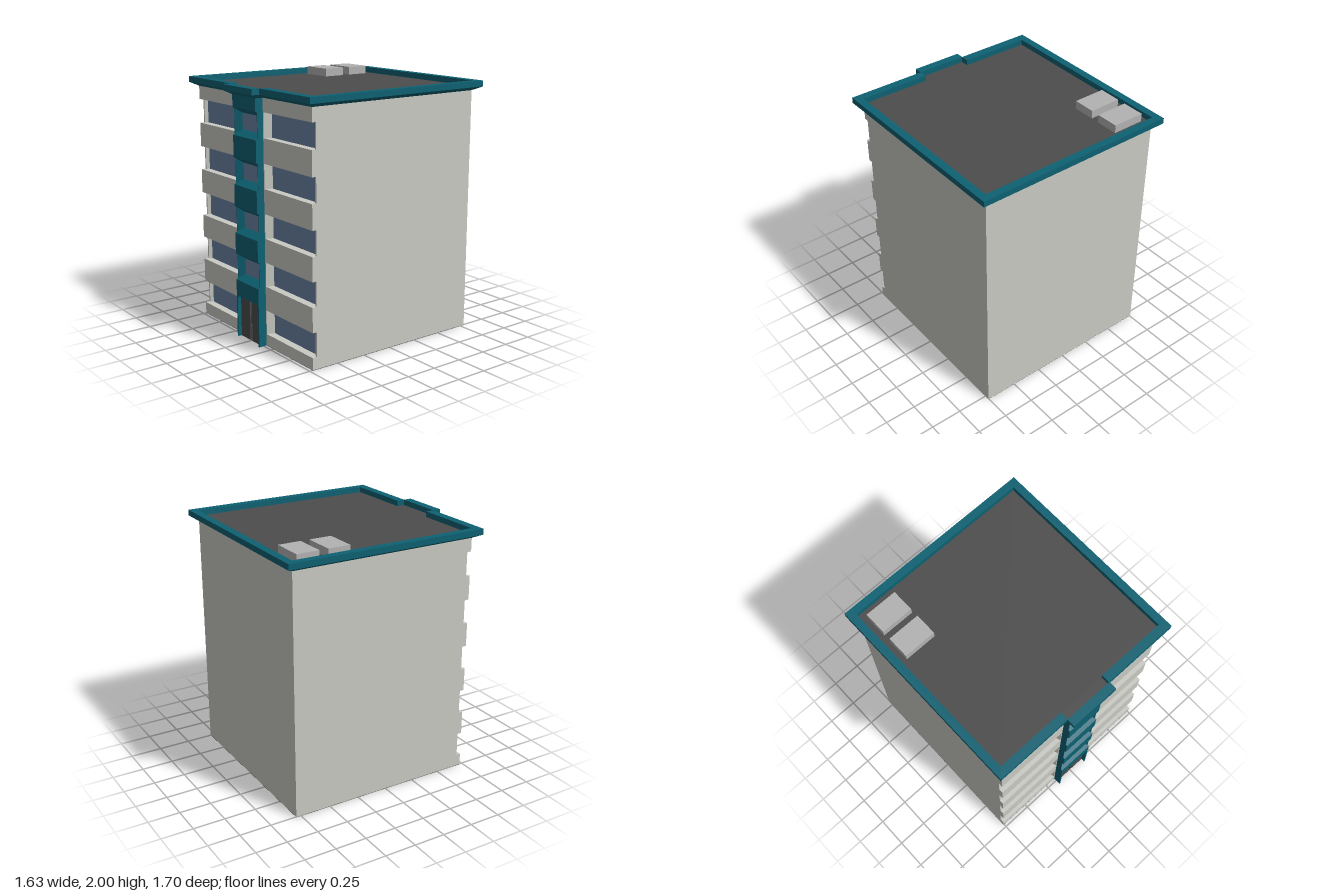
import * as THREE from 'three';

const mat = (color, extra = {}) => {
  const m = new THREE.MeshStandardMaterial({ ...extra });
  m.color.set(color);
  return m;
};

export function createModel() {
  const root = new THREE.Group();
  root.name = 'apartmentBlock';
  const wall = mat(0xc9cac3), teal = mat(0x0d6172), glass = mat(0x6b84a4);
  const dark = mat(0x4d4d4d), darker = mat(0x333333), unit = mat(0xb2b2b2);

  const add = (name, geo, material, parent = root) => {
    const mesh = new THREE.Mesh(geo, material);
    mesh.name = name;
    parent.add(mesh);
    return mesh;
  };
  // Box given by its extents on each axis
  const box = (name, [x0, x1], [y0, y1], [z0, z1], material, parent) =>
    add(name, new THREE.BoxGeometry(x1 - x0, y1 - y0, z1 - z0), material, parent)
      .position.set((x0 + x1) / 2, (y0 + y1) / 2, (z0 + z1) / 2);
  const shape = pts => new THREE.Shape(pts.map(p => new THREE.Vector2(...p)));
  const extrude = (s, depth) =>
    new THREE.ExtrudeGeometry(s, { depth, bevelEnabled: false, curveSegments: 5 });
  // Flat-shaded skin between successive closed loops of [x, y, z] points
  const loft = loops => {
    const pos = [];
    for (let i = 0; i + 1 < loops.length; i++) {
      const lo = loops[i], hi = loops[i + 1], n = lo.length;
      for (let j = 0; j < n; j++) {
        const k = (j + 1) % n;
        pos.push(...lo[j], ...lo[k], ...hi[k], ...lo[j], ...hi[k], ...hi[j]);
      }
    }
    const g = new THREE.BufferGeometry();
    g.setAttribute('position', new THREE.Float32BufferAttribute(pos, 3));
    g.computeVertexNormals();
    return g;
  };

  const W = 0.755, BACK = -0.79, FRONT = 0.725, GLASS = 0.663, T = 0.155;
  const floors = [[0.095, 0.285], [0.475, 0.665], [0.85, 1.04], [1.23, 1.42], [1.61, 1.8]];

  // Main block and its dark underside
  box('mainBlock', [-W, W], [0.002, 1.93], [BACK, GLASS], wall);
  box('baseSlab', [-W, W], [0, 0.002], [BACK, FRONT], dark);

  // Wall bands between the window rows
  const bands = [0.002, ...floors.flat(), 1.92];
  for (let i = 0; i < bands.length; i += 2)
    box('wallBand', [-W, W], [bands[i], bands[i + 1]], [GLASS, FRONT], wall);

  // Recessed window strips with splayed piers at both ends
  floors.forEach(([y0, y1]) => {
    const row = new THREE.Group();
    row.name = 'windowRow';
    root.add(row);
    box('pierCore', [-T, T], [y0, y1], [GLASS, FRONT], wall, row);
    for (const s of [1, -1]) {
      const pane = [0.18 * s, 0.73 * s].sort((a, b) => a - b);
      box('windowStrip', pane, [y0, y1], [GLASS - 0.01, GLASS + 0.001], glass, row);
      const piers = [
        [[T, GLASS], [0.182, GLASS], [0.162, FRONT], [T, FRONT]],
        [[0.73, GLASS], [W, GLASS], [W, 0.69], [0.742, 0.69]],
      ];
      for (const p of piers) {
        const g = extrude(shape(p.map(([x, z]) => [x * s, -z])), y1 - y0);
        g.rotateX(-Math.PI / 2);
        g.translate(0, y0, 0);
        add('pier', g, wall, row);
      }
    }
  });

  // Central tower
  const tower = new THREE.Group();
  tower.name = 'entranceTower';
  root.add(tower);
  const rect = (hx, y0, y1, z) => [[-hx, y0, z], [hx, y0, z], [hx, y1, z], [-hx, y1, z]];
  const panel = (y0, y1, chamferLow, chamferHigh) => {
    const c = 0.01;
    const pts = [[FRONT, y0]];
    if (chamferLow) pts.push([0.775, y0], [0.79, y0 + c]);
    else pts.push([0.79, y0]);
    if (chamferHigh) pts.push([0.79, y1 - c], [0.775, y1]);
    else pts.push([0.79, y1]);
    pts.push([FRONT, y1]);
    const g = extrude(shape(pts), 2 * T);
    g.rotateY(-Math.PI / 2); // profile z axis to model z
    g.translate(T, 0, 0);
    add('towerPanel', g, teal, tower);
  };
  panel(0.36, floors[1][0], false, true);
  for (let i = 1; i < 5; i++) {
    const [y0, y1] = floors[i];
    panel(y1, i < 4 ? floors[i + 1][0] : 1.92, true, i < 4);
    add('windowSurround', loft([rect(0.15, y0, y1, 0.775),
      rect(0.115, y0 + 0.03, y1 - 0.034, 0.727)]), teal, tower);
    box('towerWindow', [-0.118, 0.118], [y0 + 0.028, y1 - 0.03], [0.72, 0.7275], glass, tower);
    for (const s of [1, -1])
      box('towerFin', [s * 0.1525 - 0.0025, s * 0.1525 + 0.0025], [y0, y1], [FRONT, 0.775], teal, tower);
  }

  // Doorway with rounded upper corners
  const D = 0.142, H = 0.335, r = 0.018;
  const portal = shape([[-T, 0], [-D, 0], [-D, H - r]]);
  portal.quadraticCurveTo(-D, H, -D + r, H);
  portal.lineTo(D - r, H);
  portal.quadraticCurveTo(D, H, D, H - r);
  [[D, 0], [T, 0], [T, 0.36], [-T, 0.36]].forEach(p => portal.lineTo(...p));
  add('doorSurround', extrude(portal, 0.065), teal, tower).position.z = FRONT;
  box('doorLeaf', [-D, -0.015], [0, H], [FRONT, 0.76], dark, tower);
  box('doorLeaf', [0.012, D], [0, H], [FRONT, 0.76], dark, tower);
  box('doorGap', [-0.015, 0.012], [0, H], [FRONT, 0.752], darker, tower);
  box('doorStile', [-0.003, 0.001], [0, H], [0.752, 0.758], dark, tower);

  // Cornice ring, stepping out around the tower
  const outline = (hx, zb, zf, bx, zt) => [[-hx, zf], [-bx, zf], [-bx, zt], [bx, zt],
    [bx, zf], [hx, zf], [hx, zb], [-hx, zb]];
  const at = (o, y) => o.map(([x, z]) => [x, y, z]);
  const foot = outline(W, BACK, FRONT, T, 0.79);
  const rim = outline(0.815, -0.85, 0.782, 0.2, 0.848);
  const inner = outline(W, BACK, 0.715, 0.197, 0.782);
  add('cornice', loft([at(foot, 1.905), at(rim, 1.935), at(rim, 1.98),
    at(inner, 1.98), at(inner, 1.934)]), teal);

  // Roof deck and rooftop units
  const deck = new THREE.ShapeGeometry(shape(inner.map(([x, z]) => [x, -z])));
  deck.rotateX(-Math.PI / 2);
  add('roofDeck', deck, dark).position.y = 1.936;
  for (const z of [[-0.73, -0.55], [-0.482, -0.305]])
    box('rooftopUnit', [-0.708, -0.45], [1.934, 2], z, unit);

  return root;
}
